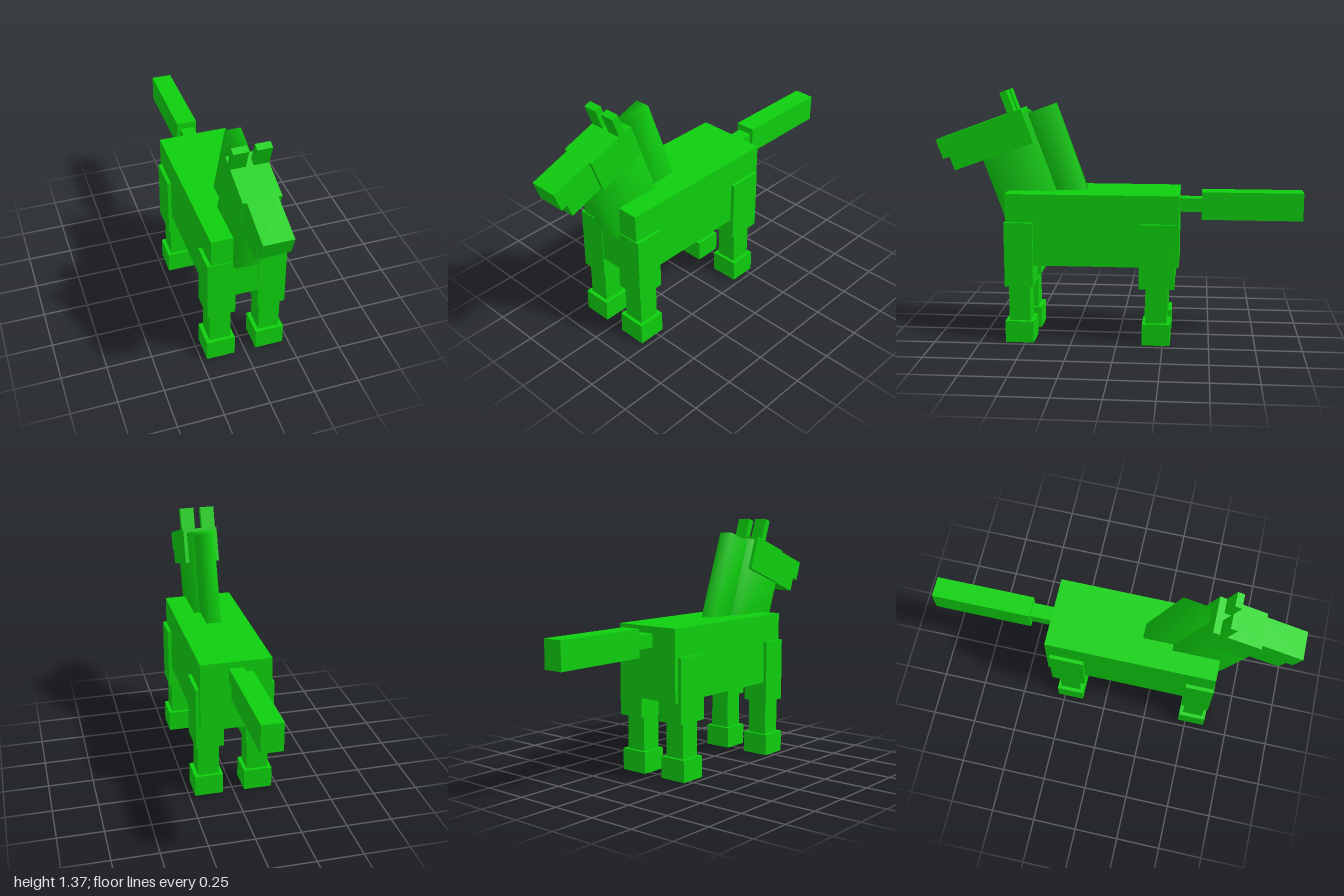
import * as THREE from 'three';
import { mergeVertices } from 'three/addons/utils/BufferGeometryUtils.js';

export function createModel() {
  const model = new THREE.Group();
  model.name = 'horse';
  const green = new THREE.MeshStandardMaterial({ color: 0x0ecf0e });
  green.name = 'green';

  // Box given by its limits on each axis; soft boxes share normals across edges
  function box(parent, name, [x0, x1], [y0, y1], [z0, z1], soft = false) {
    let geometry = new THREE.BoxGeometry(x1 - x0, y1 - y0, z1 - z0);
    if (soft) {
      geometry.deleteAttribute('normal');
      geometry.deleteAttribute('uv');
      geometry = mergeVertices(geometry);
      geometry.computeVertexNormals();
    }
    const mesh = new THREE.Mesh(geometry, green);
    mesh.name = name;
    mesh.position.set((x0 + x1) / 2, (y0 + y1) / 2, (z0 + z1) / 2);
    parent.add(mesh);
  }

  // Body and tail
  box(model, 'body', [-0.195, 0.195], [0.43, 0.822], [-0.333, 0.605]);
  box(model, 'tailBase', [-0.04, 0.04], [0.71, 0.785], [-0.455, -0.33]);
  box(model, 'tail', [-0.057, 0.057], [0.67, 0.822], [-1, -0.453]);

  // Legs: thigh, shin and hoof, mirrored left and right
  const legs = [
    { name: 'front', thigh: [0.455, 0.61], shin: [0.475, 0.59], hoof: [0.455, 0.61] },
    { name: 'back', thigh: [-0.312, -0.12], shin: [-0.272, -0.155], hoof: [-0.29, -0.138] },
  ];
  for (const side of [-1, 1]) {
    const span = (a, b) => (side > 0 ? [a, b] : [-b, -a]);
    for (const leg of legs) {
      const group = new THREE.Group();
      group.name = leg.name + (side > 0 ? 'LeftLeg' : 'RightLeg');
      box(group, 'thigh', span(0.062, 0.215), [0.315, 0.668], leg.thigh);
      box(group, 'shin', span(0.08, 0.197), [0.11, 0.32], leg.shin);
      box(group, 'hoof', span(0.06, 0.218), [0, 0.12], leg.hoof);
      model.add(group);
    }
  }

  // Neck and head, tilted forward together
  const front = new THREE.Group();
  front.name = 'neckAndHead';
  front.rotation.x = THREE.MathUtils.degToRad(20);
  model.add(front);
  box(front, 'neck', [-0.077, 0.077], [0.7, 1.352], [0.043, 0.359], true);
  box(front, 'mane', [-0.042, 0.042], [0.75, 1.335], [-0.115, 0.042], true);
  box(front, 'head', [-0.098, 0.098], [1.178, 1.372], [0.06, 0.331]);
  box(front, 'snout', [-0.078, 0.078], [1.26, 1.372], [0.32, 0.566]);
  box(front, 'jaw', [-0.078, 0.078], [1.18, 1.262], [0.32, 0.528]);
  box(front, 'leftEar', [0.02, 0.098], [1.36, 1.492], [0.098, 0.137]);
  box(front, 'rightEar', [-0.098, -0.02], [1.36, 1.492], [0.098, 0.137]);

  return model;
}
